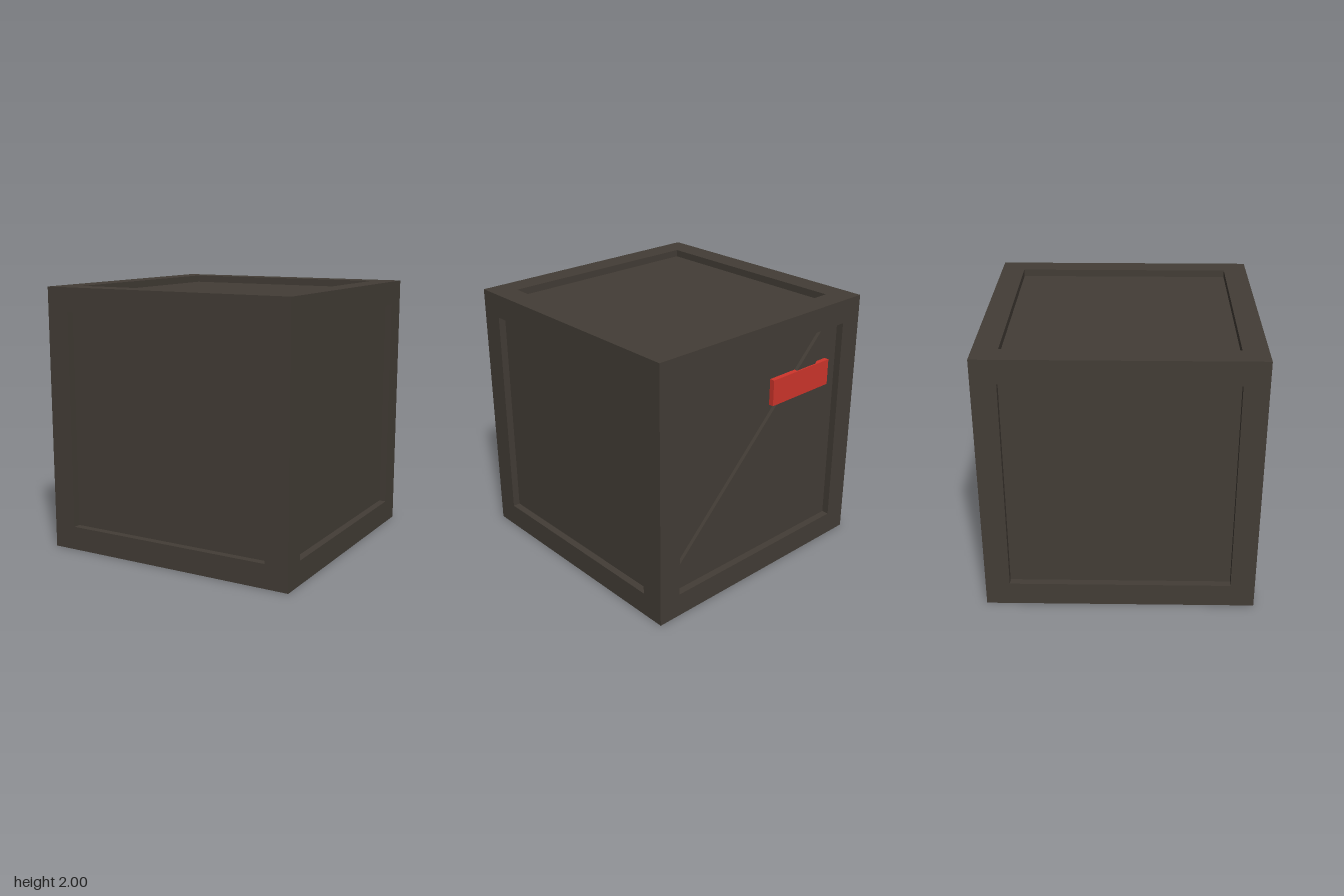
import * as THREE from 'three';

export function createModel() {
  const crate = new THREE.Group();
  crate.name = 'crate';
  const darkWood = new THREE.MeshStandardMaterial({ color: 0x433d36 });
  darkWood.name = 'darkWood';
  const redLabel = new THREE.MeshStandardMaterial({ color: 0xcf352b });
  redLabel.name = 'redLabel';

  const box = (name, size, pos, material = darkWood) => {
    const mesh = new THREE.Mesh(new THREE.BoxGeometry(...size), material);
    mesh.name = name;
    mesh.position.set(...pos);
    crate.add(mesh);
    return mesh;
  };

  const bar = 0.18;           // frame thickness
  const inner = 2 - 2 * bar;  // opening between bars
  const recess = 0.055;       // depth of the panels
  const edge = 1 - bar / 2;   // centre line of the bars

  // Inner box forms all six recessed panels
  const core = 2 - 2 * recess;
  box('panels', [core, core, core], [0, 1, 0]);

  // Twelve frame bars
  for (const a of [-1, 1]) {
    for (const b of [-1, 1]) {
      box('cornerPost', [bar, 2, bar], [a * edge, 1, b * edge]);
      box('crossRail', [inner, bar, bar], [0, 1 + a * edge, b * edge]);
      box('sideRail', [bar, bar, inner], [a * edge, 1 + b * edge, 0]);
    }
  }

  // Diagonal brace across the back panel, rising toward the model's right
  const brace = box('diagonalBrace', [2.18, 0.141, 0.06], [0.05, 1.05, -0.942]);
  brace.rotation.z = -Math.PI / 4;

  // Red plate fixed over the brace
  box('redPlate', [0.6, 0.2, 0.04], [-0.4, 1.46, -0.963], redLabel);

  return crate;
}
